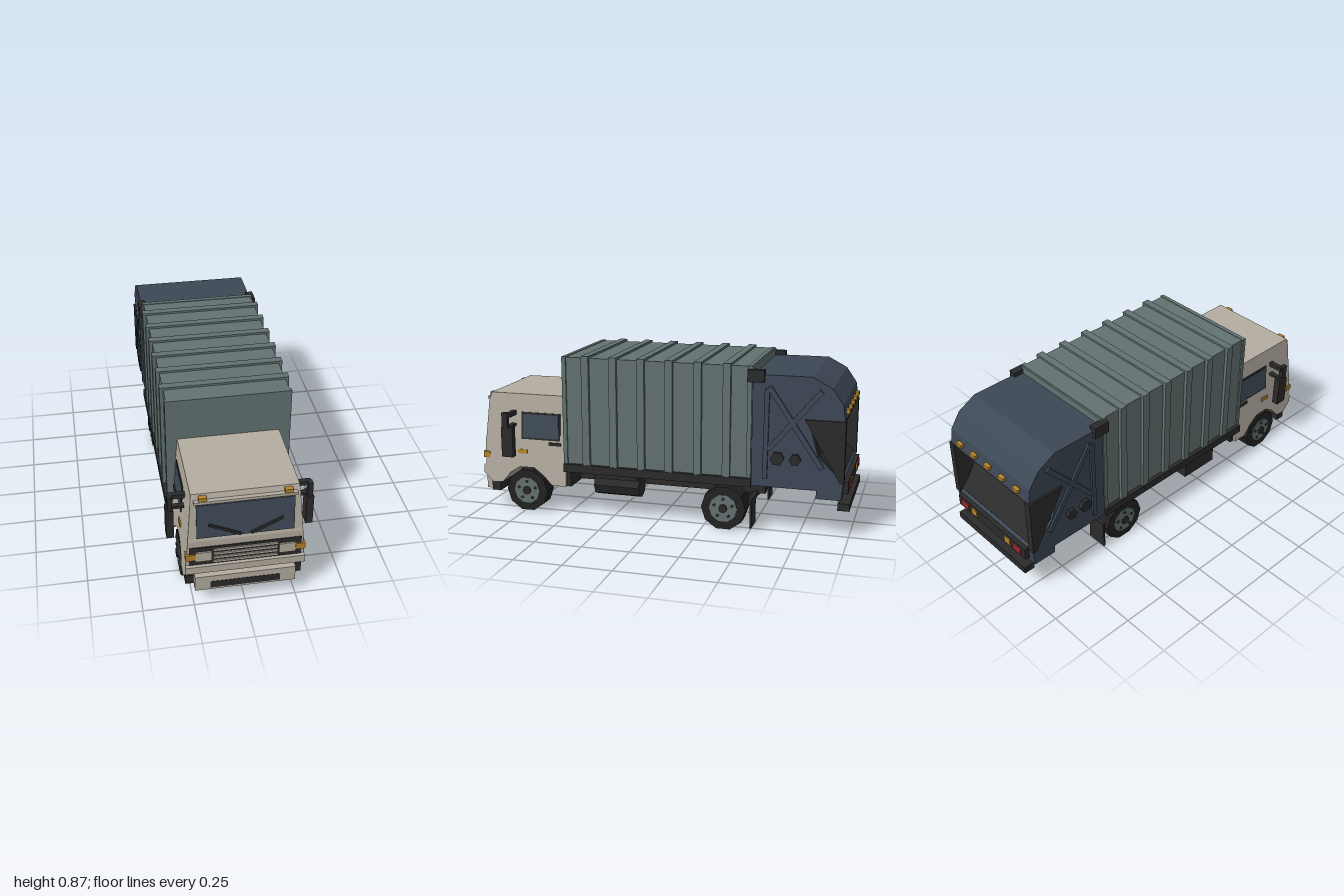
import * as THREE from 'three';

const mat = (name, color) => Object.assign(new THREE.MeshStandardMaterial({ color }), { name });

export function createModel() {
  const cream = mat('cream paint', 0xb5ada1);
  const teal = mat('grey green paint', 0x647272);
  const navy = mat('slate blue paint', 0x3d4856);
  const glass = mat('window glass', 0x3f4b57);
  const black = mat('black trim', 0x2b2b2b);
  const rubber = mat('tyre rubber', 0x222222);
  const amber = mat('amber lamp', 0xb5842c);
  const red = mat('red lamp', 0x9a2c2a);

  const truck = new THREE.Group();
  truck.name = 'garbageTruck';

  const add = (name, geo, material, parent = truck) => {
    const mesh = new THREE.Mesh(geo, material);
    mesh.name = name;
    parent.add(mesh);
    return mesh;
  };
  // Box from its limits
  const box = (name, material, x0, x1, y0, y1, z0, z1, parent) => {
    const m = add(name, new THREE.BoxGeometry(Math.abs(x1 - x0), Math.abs(y1 - y0), Math.abs(z1 - z0)), material, parent);
    m.position.set((x0 + x1) / 2, (y0 + y1) / 2, (z0 + z1) / 2);
    return m;
  };
  // Side profile of [z, y] points, extruded from x0 to x1
  const profile = (points, x0, x1) => {
    const shape = new THREE.Shape(points.map(([z, y]) => new THREE.Vector2(z, y)));
    const geo = new THREE.ExtrudeGeometry(shape, { depth: x1 - x0, bevelEnabled: false });
    return geo.rotateY(-Math.PI / 2).translate(x1, 0, 0);
  };
  // Faceted cylinder lying along x
  const drum = (name, material, r, x0, x1, y, z, sides, parent) => {
    let geo = new THREE.CylinderGeometry(r, r, Math.abs(x1 - x0), sides).rotateZ(Math.PI / 2).toNonIndexed();
    geo.computeVertexNormals();
    const m = add(name, geo, material, parent);
    m.position.set((x0 + x1) / 2, y, z);
    return m;
  };

  // Cab shell with wheel arches, narrowing towards the roof
  const halfWidth = y => 0.295 - 0.081 * (y - 0.15);
  const cabGeo = profile([
    [0.51, 0.645], [0.51, 0.155], [0.592, 0.155], [0.64, 0.205], [0.695, 0.245], [0.78, 0.245],
    [0.835, 0.21], [0.88, 0.155], [0.94, 0.15], [0.993, 0.2], [0.993, 0.24], [0.982, 0.25],
    [0.982, 0.39], [0.978, 0.405], [0.96, 0.6], [0.945, 0.645],
  ], -1, 1);
  const p = cabGeo.attributes.position;
  for (let i = 0; i < p.count; i++) p.setX(i, p.getX(i) * halfWidth(p.getY(i)));
  cabGeo.computeVertexNormals();
  add('cab', cabGeo, cream);

  // Windscreen, wipers and visor
  const screen = new THREE.Group();
  screen.name = 'windscreen';
  screen.position.set(0, 0.5, 0.971);
  screen.rotation.x = -0.092;
  truck.add(screen);
  box('windscreenGlass', glass, -0.232, 0.232, -0.091, 0.091, -0.004, 0.004, screen);
  for (const s of [1, -1]) {
    const wiper = box('wiper', black, -0.083, 0.083, -0.006, 0.006, 0.004, 0.014, screen);
    wiper.position.x = s * 0.1;
    wiper.position.y = -0.05;
    wiper.rotation.z = s * 0.42;
  }
  box('visor', cream, -0.243, 0.243, 0.603, 0.618, 0.94, 0.975);

  // Grille, lamps and front bumper
  box('grille', black, -0.27, 0.27, 0.25, 0.355, 0.97, 0.986);
  for (let i = 0; i < 4; i++) {
    const y = 0.265 + i * 0.0233;
    box('grilleSlat', cream, -0.155, 0.155, y - 0.006, y + 0.006, 0.98, 0.993);
  }
  box('frontBumper', cream, -0.245, 0.245, 0.097, 0.18, 0.955, 1);
  box('bumperSlot', black, -0.17, 0.17, 0.108, 0.146, 0.995, 1.002);
  box('cabUnderside', black, -0.285, 0.285, 0.1, 0.152, 0.9, 0.95);
  box('cabRearBeam', black, -0.28, 0.28, 0.155, 0.25, 0.485, 0.515);

  for (const s of [1, -1]) {
    box('headlamp', cream, s * 0.162, s * 0.24, 0.275, 0.329, 0.98, 0.994);
    box('turnLamp', amber, s * 0.241, s * 0.288, 0.284, 0.319, 0.955, 0.993);
    box('roofLamp', amber, s * 0.182, s * 0.22, 0.618, 0.637, 0.945, 0.972);

    // Door details lie on the sloping side
    const door = new THREE.Group();
    door.name = 'doorDetails';
    door.position.set(s * halfWidth(0.4), 0.4, 0);
    door.rotation.z = s * 0.081;
    truck.add(door);
    box('windowFrame', black, -0.004, 0.004, 0, 0.148, 0.545, 0.77, door);
    box('sideWindow', glass, -0.006, 0.006, 0.01, 0.138, 0.555, 0.76, door);
    box('doorHandle', black, -0.008, 0.008, -0.026, -0.01, 0.54, 0.608, door);
    box('sideMarker', amber, -0.006, 0.006, -0.08, -0.058, 0.735, 0.788, door);

    // Mirrors on arms
    box('mirror', black, s * 0.322, s * 0.358, 0.315, 0.477, 0.785, 0.85);
    box('mirrorPost', black, s * 0.327, s * 0.351, 0.475, 0.555, 0.815, 0.848);
    box('upperMirrorArm', black, s * 0.26, s * 0.345, 0.53, 0.553, 0.8, 0.825);
    box('lowerMirrorArm', black, s * 0.265, s * 0.345, 0.47, 0.484, 0.8, 0.825);
  }

  // Ribbed load body
  box('loadBody', teal, -0.304, 0.304, 0.25, 0.865, -0.51, 0.51);
  for (let i = 0; i < 6; i++) {
    const z = 0.38 - i * 0.151;
    box('bodyRib', teal, -0.322, 0.322, 0.27, 0.876, z - 0.02, z + 0.02);
  }
  for (const z of [0.5, -0.49]) box('bodyEndFrame', teal, -0.312, 0.312, 0.26, 0.868, z - 0.011, z + 0.011);

  // Rear hopper, notched for the loading opening
  add('hopper', profile([
    [-0.505, 0.828], [-0.8, 0.828], [-0.9, 0.775], [-0.955, 0.695], [-0.967, 0.615],
    [-0.79, 0.6], [-0.84, 0.43], [-0.955, 0.315], [-0.968, 0.3], [-0.96, 0.212],
    [-0.835, 0.212], [-0.835, 0.255], [-0.505, 0.255],
  ], -0.312, 0.312), navy);
  add('openingLining', profile([
    [-0.966, 0.614], [-0.79, 0.6], [-0.84, 0.43], [-0.955, 0.315],
    [-0.958, 0.321], [-0.847, 0.433], [-0.798, 0.594], [-0.966, 0.607],
  ], -0.3, 0.3), black);

  for (const s of [1, -1]) {
    const span = (a, b) => s > 0 ? [a, b] : [-b, -a];
    add('openingGuard', profile([[-0.77, 0.615], [-0.972, 0.615], [-0.972, 0.3], [-0.95, 0.305]], ...span(0.285, 0.322)), black);
    box('hingeBracket', black, s * 0.29, s * 0.33, 0.79, 0.852, -0.565, -0.48);
    box('bodyRail', black, s * 0.23, s * 0.325, 0.248, 0.292, -0.505, 0.51);

    // Crossed stiffeners and pivots
    const brace = (z0, y0, z1, y1, w) => {
      const m = add('hopperBrace', new THREE.BoxGeometry(0.014, w, Math.hypot(z1 - z0, y1 - y0)), navy);
      m.position.set(s * 0.316, (y0 + y1) / 2, (z0 + z1) / 2);
      m.rotation.x = -Math.atan2(y1 - y0, z1 - z0);
    };
    brace(-0.86, 0.37, -0.59, 0.77, 0.026);
    brace(-0.85, 0.76, -0.59, 0.45, 0.026);
    brace(-0.575, 0.3, -0.58, 0.76, 0.024);
    drum('pivot', black, 0.036, s * 0.3, s * 0.332, 0.408, -0.637, 6);
    drum('pivot', black, 0.03, s * 0.3, s * 0.332, 0.408, -0.727, 6);

    // Tail lamps
    box('redTailLamp', red, s * 0.185, s * 0.245, 0.252, 0.29, -0.996, -0.98);
    box('amberTailLamp', amber, s * 0.115, s * 0.16, 0.252, 0.29, -0.996, -0.98);
    box('bumperBracket', black, s * 0.13, s * 0.17, 0.165, 0.215, -0.95, -0.92);
  }
  box('tailLampBar', black, -0.275, 0.275, 0.238, 0.302, -0.99, -0.95);
  box('rearBumper', black, -0.275, 0.275, 0.148, 0.186, -1, -0.94);
  for (let i = -2; i <= 2; i++) box('upperLamp', amber, i * 0.1125 - 0.02, i * 0.1125 + 0.02, 0.642, 0.662, -0.98, -0.95);

  // Chassis, tank and equipment box
  for (const s of [1, -1]) box('chassisRail', black, s * 0.1, s * 0.145, 0.163, 0.215, -0.55, 0.55);
  for (const z of [-0.53, -0.1, 0.4]) box('chassisCrossMember', black, -0.1, 0.1, 0.17, 0.21, z - 0.02, z + 0.02);
  for (const z of [-0.45, -0.2, 0.1, 0.4]) box('bodySupport', black, -0.14, 0.14, 0.21, 0.252, z - 0.02, z + 0.02);
  const tank = drum('fuelTank', black, 0.064, -0.125, 0.125, 0.174, 0.23, 8);
  tank.rotation.y = Math.PI / 2;
  tank.position.x = 0.215;
  box('tankBracket', black, 0.14, 0.285, 0.215, 0.25, 0.11, 0.35);
  box('equipmentBox', black, -0.28, -0.15, 0.11, 0.24, 0.12, 0.34);

  // Axles and engine housing
  drum('engineHousing', black, 0.095, -0.21, 0.21, 0.152, 0.735, 10);
  drum('rearAxle', black, 0.03, -0.22, 0.22, 0.118, -0.36, 8);
  box('differential', black, -0.06, 0.06, 0.07, 0.17, -0.42, -0.3);

  // Wheels with rims, hubs and nuts
  const wheel = (s, z, inner, outer) => {
    const g = new THREE.Group();
    g.name = z > 0 ? 'frontWheel' : 'rearWheel';
    g.position.set(0, 0.116, z);
    truck.add(g);
    drum('tyre', rubber, 0.118, s * inner, s * outer, 0, 0, 10, g);
    drum('rim', teal, 0.074, s * (outer - 0.02), s * (outer + 0.005), 0, 0, 10, g);
    drum('hub', black, 0.023, s * outer, s * (outer + 0.014), 0, 0, 8, g);
    for (let i = 0; i < 5; i++) {
      const a = Math.PI / 2 + i * Math.PI * 0.4;
      drum('wheelNut', black, 0.009, s * outer, s * (outer + 0.009), 0.05 * Math.sin(a), 0.05 * Math.cos(a), 6, g);
    }
  };
  for (const s of [1, -1]) {
    wheel(s, 0.74, 0.2, 0.288);
    wheel(s, -0.36, 0.2, 0.3);
    box('mudFlap', black, s * 0.195, s * 0.305, 0.022, 0.165, -0.51, -0.5);
    box('mudFlapBracket', black, s * 0.14, s * 0.3, 0.15, 0.175, -0.51, -0.49);
  }
  return truck;
}
